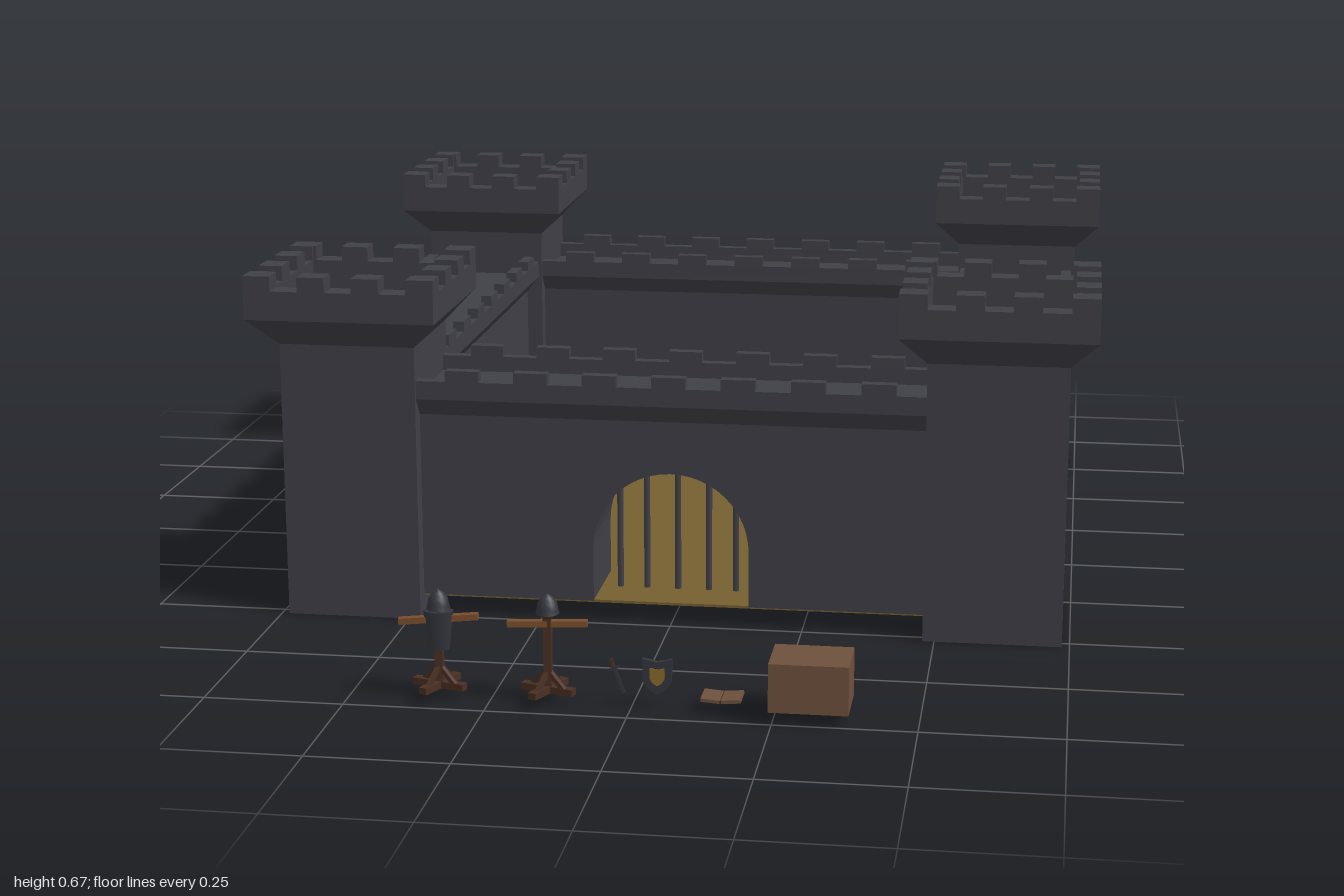
import * as THREE from 'three';

const mat = (name, color) => {
  const m = new THREE.MeshStandardMaterial({ color });
  m.name = name;
  return m;
};

export function createModel() {
  const stone = mat('stone', 0x403f47);
  const earth = mat('earth', 0x765f2f);
  const crateWood = mat('crate wood', 0x6d503c);
  const wood = mat('arm wood', 0x7a4f2c);
  const darkWood = mat('dark wood', 0x4a2f22);
  const steel = mat('dark steel', 0x33363d);
  const gold = mat('gold', 0x8a6a2c);

  const root = new THREE.Group();
  root.name = 'castle';

  const group = (name, x = 0, y = 0, z = 0, parent = root) => {
    const g = new THREE.Group();
    g.name = name;
    g.position.set(x, y, z);
    parent.add(g);
    return g;
  };
  const add = (parent, name, geo, material, x = 0, y = 0, z = 0) => {
    const m = new THREE.Mesh(geo, material);
    m.name = name;
    m.position.set(x, y, z);
    parent.add(m);
    return m;
  };
  const box = (parent, name, material, w, h, d, x, y, z) =>
    add(parent, name, new THREE.BoxGeometry(w, h, d), material, x, y, z);
  const faceted = (geo) => {
    const g = geo.toNonIndexed();
    g.computeVertexNormals();
    return g;
  };
  const polygon = (pts) => new THREE.Shape(pts.map(([x, y]) => new THREE.Vector2(x, y)));
  const extrude = (shape, depth, curveSegments = 12) => {
    const g = new THREE.ExtrudeGeometry(shape, { depth, bevelEnabled: false, curveSegments });
    return g.translate(0, 0, -depth / 2);
  };

  const CX = 0.607, CZ = -0.214, DZ = 0.607; // tower offsets and castle centre

  // Courtyard floor
  box(root, 'courtyardFloor', earth, 1.4, 0.005, 1.4, 0, 0.0395, CZ);

  // Corner towers with flared, crenellated tops
  const flare = faceted(new THREE.CylinderGeometry(0.18 * Math.SQRT2, 0.129 * Math.SQRT2, 0.055, 4, 1)
    .rotateY(Math.PI / 4));
  const ring = polygon([[-0.18, -0.18], [0.18, -0.18], [0.18, 0.18], [-0.18, 0.18]]);
  ring.holes.push(polygon([[-0.135, -0.135], [-0.135, 0.135], [0.135, 0.135], [0.135, -0.135]]));
  const parapet = extrude(ring, 0.055).rotateX(-Math.PI / 2);
  const cell = 0.36 / 7;
  for (const sx of [-1, 1]) for (const sz of [-1, 1]) {
    const t = group('tower', sx * CX, 0, CZ + sz * DZ);
    box(t, 'towerShaft', stone, 0.258, 0.53, 0.258, 0, 0.265, 0);
    add(t, 'towerFlare', flare, stone, 0, 0.5575, 0);
    add(t, 'towerParapet', parapet, stone, 0, 0.6125, 0);
    for (let i = 0; i < 4; i++) {
      const side = group('towerMerlons', 0, 0, 0, t);
      side.rotation.y = i * Math.PI / 2;
      for (const k of [-1, 1]) {
        box(side, 'merlon', stone, cell, 0.028, 0.045, k * cell, 0.654, 0.1575);
      }
      // L-shaped corner merlon
      box(side, 'cornerMerlon', stone, cell, 0.028, 0.045, 3 * cell, 0.654, 0.1575);
      box(side, 'cornerMerlon', stone, 0.045, 0.028, cell - 0.045, 0.1575, 0.654, 0.135 - (cell - 0.045) / 2);
    }
  }

  // Curtain walls: plain body (arched in front), corbelled walkway, two rows of merlons
  const walkway = extrude(polygon([
    [-0.095, 0.395], [0.095, 0.395], [0.122, 0.43], [0.122, 0.465], [0.1, 0.465], [0.1, 0.435],
    [-0.1, 0.435], [-0.1, 0.465], [-0.122, 0.465], [-0.122, 0.43],
  ]), 0.98).rotateY(Math.PI / 2);
  const gateWall = new THREE.Shape();
  gateWall.moveTo(-0.49, 0.04);
  gateWall.lineTo(-0.148, 0.04);
  gateWall.lineTo(-0.148, 0.147);
  gateWall.absarc(0, 0.147, 0.148, Math.PI, 0, true);
  gateWall.lineTo(0.148, 0.04);
  gateWall.lineTo(0.49, 0.04);
  gateWall.lineTo(0.49, 0.395);
  gateWall.lineTo(-0.49, 0.395);
  for (let i = 0; i < 4; i++) {
    const a = i * Math.PI / 2;
    const w = group(i ? 'wall' : 'gateWall', Math.sin(a) * DZ, 0, CZ + Math.cos(a) * DZ);
    w.rotation.y = a;
    if (i) box(w, 'wallBody', stone, 0.98, 0.355, 0.19, 0, 0.2175, 0);
    else add(w, 'archedWallBody', extrude(gateWall, 0.19), stone);
    add(w, 'walkway', walkway, stone);
    for (let k = -3; k <= 3; k++) for (const s of [-1, 1]) {
      box(w, 'merlon', stone, 0.064, 0.021, 0.022, k * 0.13, 0.4755, s * 0.111);
    }
  }

  // Gate bars
  const gate = group('gate', 0, 0, CZ + DZ);
  for (const x of [-0.112, -0.06, 0, 0.06, 0.112]) {
    const h = 0.11 + Math.sqrt(0.148 ** 2 - x * x);
    add(gate, 'gateBar', new THREE.CylinderGeometry(0.006, 0.006, h, 8), stone, x, 0.04 + h / 2, 0);
  }

  // Training dummies
  const helmet = new THREE.LatheGeometry([[0.021, 0], [0.019, 0.008], [0.017, 0.02], [0.01, 0.03], [0, 0.036]]
    .map(([x, y]) => new THREE.Vector2(x, y)), 10);
  const torso = new THREE.CylinderGeometry(0.027, 0.019, 0.07, 10).scale(1, 1, 0.7);
  for (const [x, armoured] of [[-0.34, true], [-0.147, false]]) {
    const d = group('trainingDummy', x, 0, 0.942);
    box(d, 'post', darkWood, 0.014, 0.14, 0.014, 0, 0.095, 0);
    const feet = group('dummyFeet', 0, 0.026, 0, d);
    for (const [angle, len] of [[1.15, 0.1], [-0.3, 0.1]]) {
      box(feet, 'foot', darkWood, len, 0.012, 0.016, 0, 0, 0).rotation.y = angle;
    }
    for (let i = 0; i < 4; i++) {
      const brace = group('brace', 0, 0.043, 0, d);
      brace.rotation.y = 1.15 + i * Math.PI / 2;
      box(brace, 'braceBeam', darkWood, 0.045, 0.008, 0.008, 0.018, 0, 0).rotation.z = -0.75;
    }
    const arm = box(d, 'crossArm', wood, 0.14, 0.011, 0.014, 0, 0.145, 0);
    arm.rotation.set(0, 0.08, armoured ? 0.08 : 0.02);
    add(d, 'head', new THREE.SphereGeometry(0.014, 10, 8), darkWood, 0, 0.166, 0);
    const h = add(d, 'helmet', helmet, steel, 0, 0.163, 0);
    h.material.side = THREE.DoubleSide;
    if (armoured) add(d, 'breastplate', torso, steel, 0, 0.125, 0);
  }

  // Sword leaning at a slant
  const sword = group('sword', -0.026, 0.055, 0.94);
  sword.rotation.z = 0.35;
  box(sword, 'blade', steel, 0.006, 0.048, 0.003, 0, -0.01, 0);
  box(sword, 'crossguard', steel, 0.018, 0.004, 0.005, 0, 0.014, 0);
  box(sword, 'grip', darkWood, 0.005, 0.016, 0.005, 0, 0.024, 0);

  // Shield with a gold panel
  const shieldShape = (s) => polygon([[-0.026, 0.032], [0, 0.026], [0.026, 0.032], [0.025, -0.01],
    [0.014, -0.025], [0, -0.033], [-0.014, -0.025], [-0.025, -0.01]].map(([x, y]) => [x * s, y * s]));
  const shield = group('shield', 0.045, 0.057, 0.94);
  add(shield, 'shieldPlate', extrude(shieldShape(1), 0.008), steel);
  add(shield, 'shieldPanel', extrude(shieldShape(0.5), 0.004), gold, 0, 0, 0.004);

  // Open book lying flat
  const book = group('openBook', 0.158, 0.024, 0.937);
  for (const s of [-1, 1]) {
    box(book, 'bookHalf', crateWood, 0.034, 0.006, 0.052, s * 0.018, 0, 0).rotation.z = s * 0.08;
  }
  box(book, 'bookSpine', darkWood, 0.005, 0.005, 0.052, 0, -0.001, 0);

  // Crate
  box(root, 'crate', crateWood, 0.138, 0.087, 0.108, 0.313, 0.0655, 0.946);

  return root;
}
